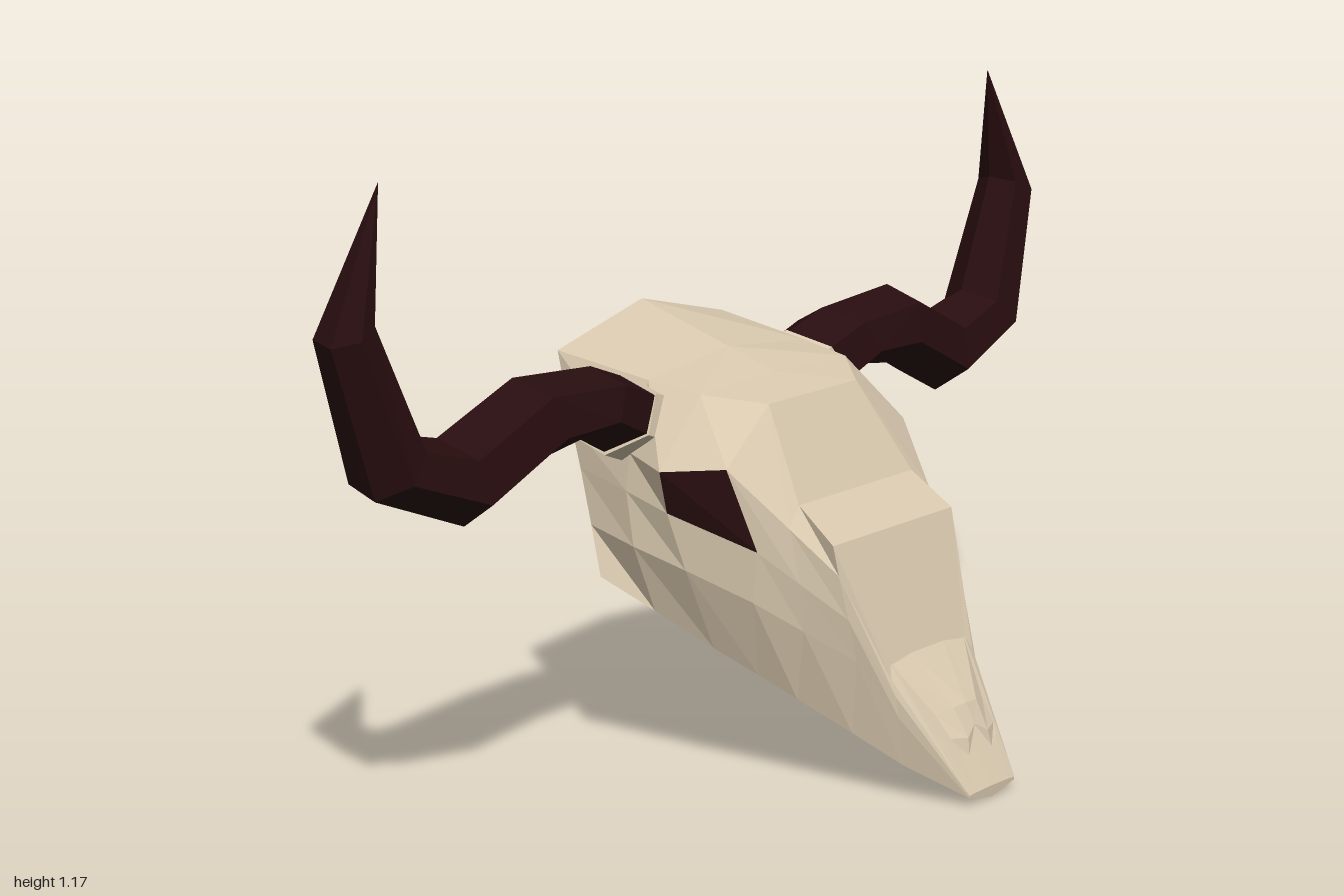
import * as THREE from 'three';

const bone = new THREE.MeshStandardMaterial({ color: 0xd8c8ae, flatShading: true });
const thinBone = new THREE.MeshStandardMaterial({ color: 0xd8c8ae, flatShading: true, side: THREE.DoubleSide });
const darkHorn = new THREE.MeshStandardMaterial({ color: 0x280d0f, flatShading: true });
bone.name = 'bone';
thinBone.name = 'bone sheet';
darkHorn.name = 'dark horn';

// Flat-shaded mesh from triangles of [x, y, z] corners; side -1 mirrors across z
function facetMesh(name, triangles, material, side = 1) {
  const pos = [];
  for (const [a, b, c] of triangles) {
    for (const p of side > 0 ? [a, b, c] : [a, c, b]) pos.push(p[0], p[1], p[2] * side);
  }
  const geo = new THREE.BufferGeometry();
  geo.setAttribute('position', new THREE.Float32BufferAttribute(pos, 3));
  geo.computeVertexNormals();
  const mesh = new THREE.Mesh(geo, material);
  mesh.name = name;
  return mesh;
}

// Two triangles per cell between neighbouring rows of points
function skin(rows, closed = false, keep = () => true) {
  const tris = [];
  for (let i = 0; i < rows.length - 1; i++) {
    const n = rows[i].length;
    for (let j = 0; j < (closed ? n : n - 1); j++) {
      if (!keep(i, j)) continue;
      const k = (j + 1) % n;
      const a = rows[i][j], b = rows[i][k], c = rows[i + 1][k], d = rows[i + 1][j];
      tris.push([a, b, c], [a, c, d]);
    }
  }
  return tris;
}

// Half sections from the back of the head to the snout:
// top centre, top edge, brow, under eye, cheek, jaw edge
const sections = [
  [[-.41, .825, 0], [-.41, .765, .24], [-.363, .64, .26], [-.332, .56, .27], [-.294, .46, .285], [-.26, .37, .30]],
  [[-.20, .76, 0], [-.20, .735, .23], [-.20, .61, .285], [-.20, .54, .295], [-.18, .44, .30], [-.16, .315, .265]],
  [[-.09, .727, 0], [-.09, .72, .215], [-.10, .595, .32], [-.10, .515, .30], [-.07, .41, .285], [-.05, .255, .23]],
  [[0, .70, 0], [0, .70, .13], [.01, .605, .265], [.06, .455, .24], [.05, .36, .24], [.03, .212, .20]],
  [[.10, .535, 0], [.10, .535, .17], [.11, .50, .21], [.13, .40, .205], [.13, .31, .195], [.10, .174, .176]],
  [[.185, .475, 0], [.185, .475, .18], [.195, .42, .176], [.21, .34, .168], [.22, .26, .155], [.20, .12, .142]],
  [[.265, .255, 0], [.265, .255, .115], [.275, .23, .125], [.285, .20, .125], [.29, .16, .122], [.29, .07, .111]],
  [[.41, .027, 0], [.41, .026, .05], [.41, .025, .07], [.41, .024, .07], [.41, .022, .07], [.41, .02, .07]],
];
sections.forEach((s, i) => {
  const [x, y] = s[5];
  s.push([x, i === sections.length - 1 ? .005 : y, 0]);
});

// Thin forked nose bone, rows from centre to edge
const noseRows = [
  [[.262, .262, 0], [.262, .262, .05], [.264, .255, .112]],
  [[.35, .172, 0], [.348, .17, .035], [.335, .162, .072]],
  [[.37, .135, 0], [.378, .118, .03], [.365, .122, .066]],
  [[.37, .134, 0], [.384, .088, .035], [.376, .104, .06]],
].map(r => r.slice().reverse());

// Horn sections: [centre x, half width, top y, top z, bottom y, bottom z]
const hornSections = [
  [-.235, .10, .74, .245, .617, .335],
  [-.225, .10, .775, .34, .655, .41],
  [-.225, .095, .79, .55, .64, .51],
  [-.245, .10, .71, .72, .55, .695],
  [-.24, .083, .735, .82, .638, .915],
  [-.245, .06, .955, .915, .915, 1.0],
  [-.235, 0, 1.18, .877, 1.18, .877],
];
const cuffSections = [
  [-.235, .10, .72, .16, .57, .23],
  [-.237, .105, .745, .245, .61, .332],
  [-.237, .07, .72, .26, .64, .315],
];

function ring([x, rx, ty, tz, by, bz]) {
  return Array.from({ length: 6 }, (_, k) => {
    const a = THREE.MathUtils.degToRad(40 + 60 * k), s = Math.sin(a) / 2;
    return [x + rx * Math.cos(a), (ty + by) / 2 + (ty - by) * s, (tz + bz) / 2 + (tz - bz) * s];
  });
}

export function createModel() {
  const model = new THREE.Group();
  model.name = 'hornedSkull';

  const isEye = (i, j) => i === 2 && j === 2;
  const skullTris = skin(sections, false, (i, j) => !isEye(i, j));
  const back = sections[0], tip = sections[sections.length - 1];
  for (let j = 1; j < back.length - 1; j++) {
    skullTris.push([back[0], back[j + 1], back[j]], [tip[0], tip[j], tip[j + 1]]);
  }
  const eyeTris = skin(sections, false, isEye);
  const noseTris = skin(noseRows);
  const hornTris = skin(hornSections.map(ring), true);
  const cuffTris = skin(cuffSections.map(ring), true);

  // Both halves of the head
  for (const side of [1, -1]) {
    const half = new THREE.Group();
    half.name = side > 0 ? 'nearHalf' : 'farHalf';
    half.add(
      facetMesh('skull', skullTris, bone, side),
      facetMesh('eyeSocket', eyeTris, darkHorn, side),
      facetMesh('noseBone', noseTris, thinBone, side),
      facetMesh('hornCuff', cuffTris, bone, side),
      facetMesh('horn', hornTris, darkHorn, side),
    );
    model.add(half);
  }
  return model;
}
